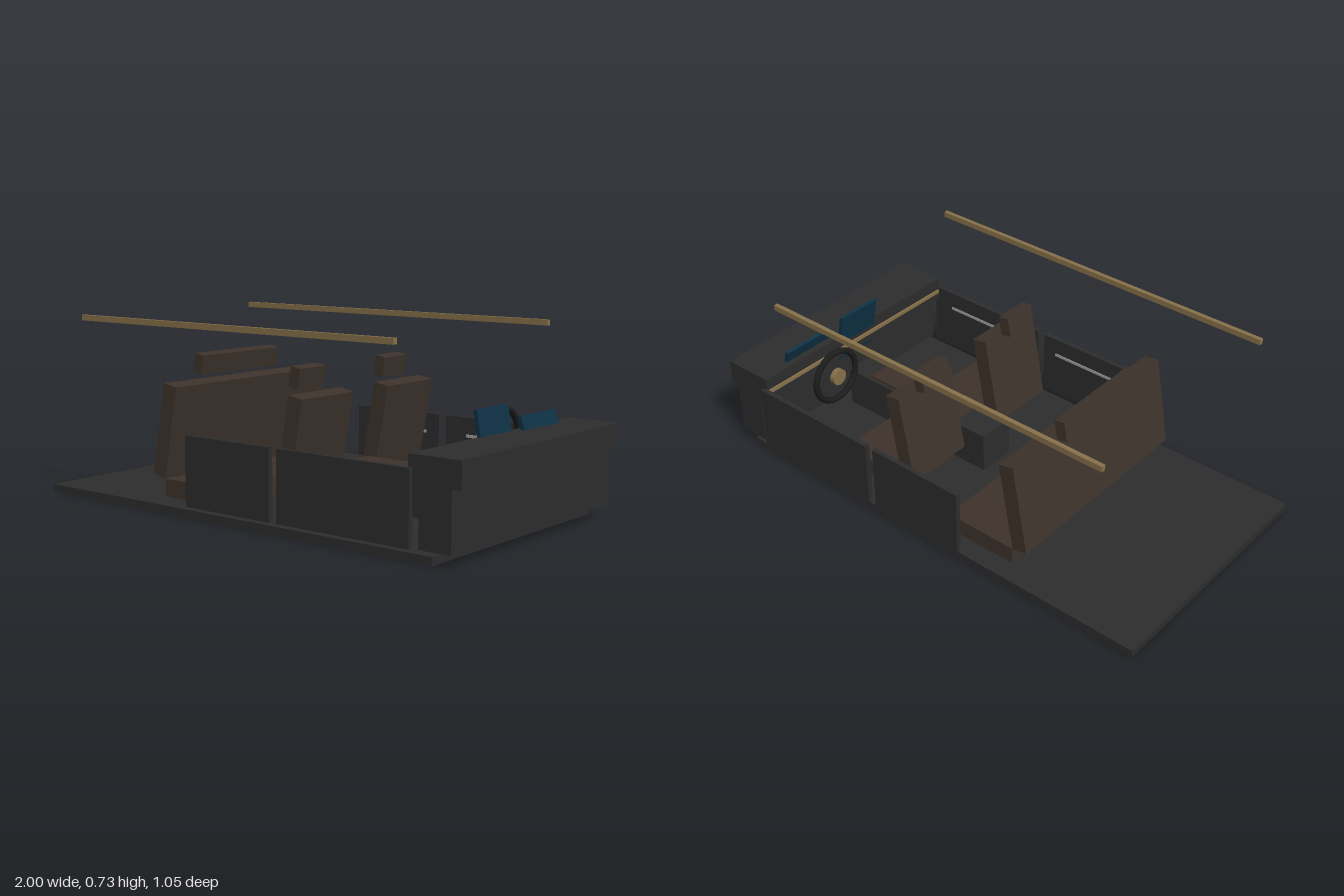
import * as THREE from 'three';

const mat = (name, color) => {
  const m = new THREE.MeshStandardMaterial({ color });
  m.name = name;
  return m;
};

export function createModel() {
  const dark = mat('charcoal', 0x2d2d2d);
  const black = mat('wheelBlack', 0x1c1c1c);
  const leather = mat('brownLeather', 0x3d332b);
  const screen = mat('screenBlue', 0x0e3245);
  const tan = mat('tanTrim', 0x87714a);
  const chrome = mat('chrome', 0xa0a0a0);

  const model = new THREE.Group();
  model.name = 'carInterior';

  // Box given by its size and centre, with an optional lean about z
  const box = (name, material, [w, h, d], [x, y, z], lean = 0, parent = model) => {
    const mesh = new THREE.Mesh(new THREE.BoxGeometry(w, h, d), material);
    mesh.name = name;
    mesh.position.set(x, y, z);
    mesh.rotation.z = lean;
    parent.add(mesh);
    return mesh;
  };

  // Floor
  box('floor', dark, [1.89, 0.03, 1.02], [-0.055, 0.015, 0]);

  // Dashboard with trim strip and two screens
  box('dashboardTop', dark, [0.21, 0.1, 1.02], [0.895, 0.31, 0]);
  box('dashboardBase', dark, [0.13, 0.215, 1.02], [0.898, 0.1525, 0]);
  box('dashboardTrim', tan, [0.008, 0.015, 1.0], [0.786, 0.3, 0]);
  box('centreScreen', screen, [0.014, 0.22, 0.2], [0.793, 0.346, 0], 0.18);
  box('instrumentScreen', screen, [0.014, 0.11, 0.24], [0.826, 0.357, -0.25], 0.3);

  // Centre console and armrest
  box('console', dark, [0.735, 0.165, 0.156], [0.4, 0.1125, 0]);
  box('consoleArmrest', leather, [0.475, 0.01, 0.125], [0.418, 0.198, 0]);

  // Seat: cushion, leaning back and headrest, placed from the backrest centre
  const seat = (name, x, z, width, headWidth) => {
    const g = new THREE.Group();
    g.name = name;
    g.position.set(x, 0, z);
    box('cushion', leather, [0.305, 0.07, width], [0.153, 0.08, 0], 0, g);
    box('backrest', leather, [0.065, 0.364, width], [0, 0.3, 0], -0.18, g);
    box('headrest', leather, [0.045, 0.078, headWidth], [-0.036, 0.537, 0], -0.18, g);
    model.add(g);
  };
  seat('rearBench', -0.414, 0, 0.885, 0.44);

  // Parts mirrored on both sides
  for (const s of [-1, 1]) {
    seat('frontSeat', 0.174, s * 0.25, 0.292, 0.144);
    box('frontDoor', dark, [0.577, 0.27, 0.02], [0.5185, 0.18, s * 0.517]);
    box('rearDoor', dark, [0.415, 0.27, 0.02], [-0.0125, 0.18, s * 0.517]);
    box('frontDoorStrip', chrome, [0.38, 0.012, 0.004], [0.52, 0.24, s * 0.506]);
    box('rearDoorStrip', chrome, [0.29, 0.012, 0.004], [-0.012, 0.24, s * 0.506]);
    box('roofRail', tan, [1.535, 0.022, 0.018], [-0.055, 0.717, s * 0.482]);
  }

  // Steering wheel facing the rear, with round hub
  const wheel = new THREE.Group();
  wheel.name = 'steeringWheel';
  wheel.position.set(0.665, 0.3, -0.25);
  const rim = new THREE.Mesh(new THREE.TorusGeometry(0.108, 0.013, 12, 40), black);
  rim.name = 'wheelRim';
  rim.rotation.y = Math.PI / 2;
  const hub = new THREE.Mesh(new THREE.CylinderGeometry(0.034, 0.034, 0.022, 24), tan);
  hub.name = 'wheelHub';
  hub.rotation.z = Math.PI / 2;
  hub.position.x = -0.011;
  wheel.add(rim, hub);
  model.add(wheel);

  return model;
}
